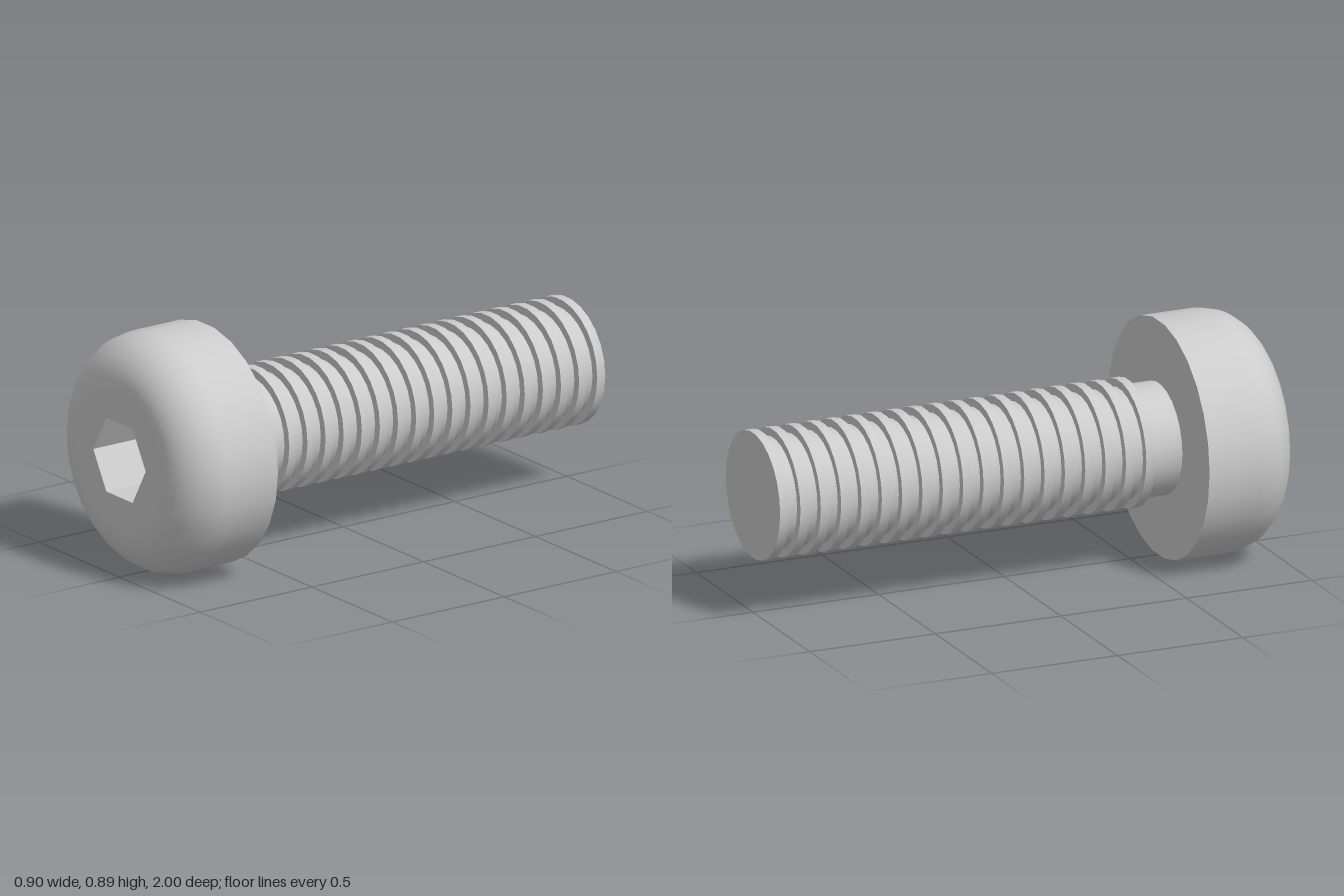
import * as THREE from 'three';
import { toCreasedNormals } from 'three/addons/utils/BufferGeometryUtils.js';

const SIDES = 26;
const HEAD_R = 0.45, HEAD_BACK = 0.615, FILLET = 0.18, FACE_R = HEAD_R - FILLET;
const CORE_R = 0.21, THREAD_R = 0.24;
const RINGS = 19, PITCH = 0.081, RING_WIDTH = 0.036;
const SOCKET_R = 0.163, SOCKET_FLOOR = 0.76;

const material = new THREE.MeshStandardMaterial({ color: 0xcccccc });

// Turn a [radius, z] profile around the z axis, with a corner on +x
function turned(name, profile, sides) {
  const points = profile.map(([r, z]) => new THREE.Vector2(r, z));
  const geometry = new THREE.LatheGeometry(points, sides, Math.PI / 2).rotateX(Math.PI / 2);
  const mesh = new THREE.Mesh(toCreasedNormals(geometry, 0.6), material);
  mesh.name = name;
  return mesh;
}

// Corners of a regular polygon, with a corner on +x
function polygon(radius, sides) {
  return Array.from({ length: sides }, (_, i) => {
    const a = (i / sides) * Math.PI * 2;
    return new THREE.Vector2(radius * Math.cos(a), radius * Math.sin(a));
  });
}

export function createModel() {
  const screw = new THREE.Group();
  screw.name = 'screw';

  // Head: flat underside, straight rim, rounded front edge
  const headProfile = [[CORE_R, HEAD_BACK], [HEAD_R, HEAD_BACK]];
  for (let i = 0; i <= 10; i++) {
    const a = (i / 10) * Math.PI / 2;
    headProfile.push([FACE_R + FILLET * Math.cos(a), 1 - FILLET + FILLET * Math.sin(a)]);
  }
  screw.add(turned('head', headProfile, SIDES));

  // Flat front of the head with the hexagonal opening
  const faceShape = new THREE.Shape(polygon(FACE_R, SIDES));
  faceShape.holes.push(new THREE.Path(polygon(SOCKET_R, 6)));
  const face = new THREE.Mesh(new THREE.ShapeGeometry(faceShape), material);
  face.name = 'headFace';
  face.position.z = 1;
  screw.add(face);

  // Socket walls and floor, facing inward
  screw.add(turned('hexSocket', [[SOCKET_R, 1], [SOCKET_R, SOCKET_FLOOR], [0, SOCKET_FLOOR]], 6));

  // Shank: closed tip, square-edged thread rings, plain neck under the head
  const shankProfile = [[0, -1]];
  for (let i = 0; i < RINGS; i++) {
    const z = -1 + i * PITCH;
    if (i > 0) shankProfile.push([CORE_R, z]);
    shankProfile.push([THREAD_R, z], [THREAD_R, z + RING_WIDTH], [CORE_R, z + RING_WIDTH]);
  }
  shankProfile.push([CORE_R, HEAD_BACK]);
  screw.add(turned('threadedShank', shankProfile, SIDES));

  // Rest the head's lowest flat on the ground
  screw.position.y = HEAD_R * Math.cos(Math.PI / SIDES);
  const model = new THREE.Group();
  model.name = 'buttonHeadScrew';
  model.add(screw);
  return model;
}
